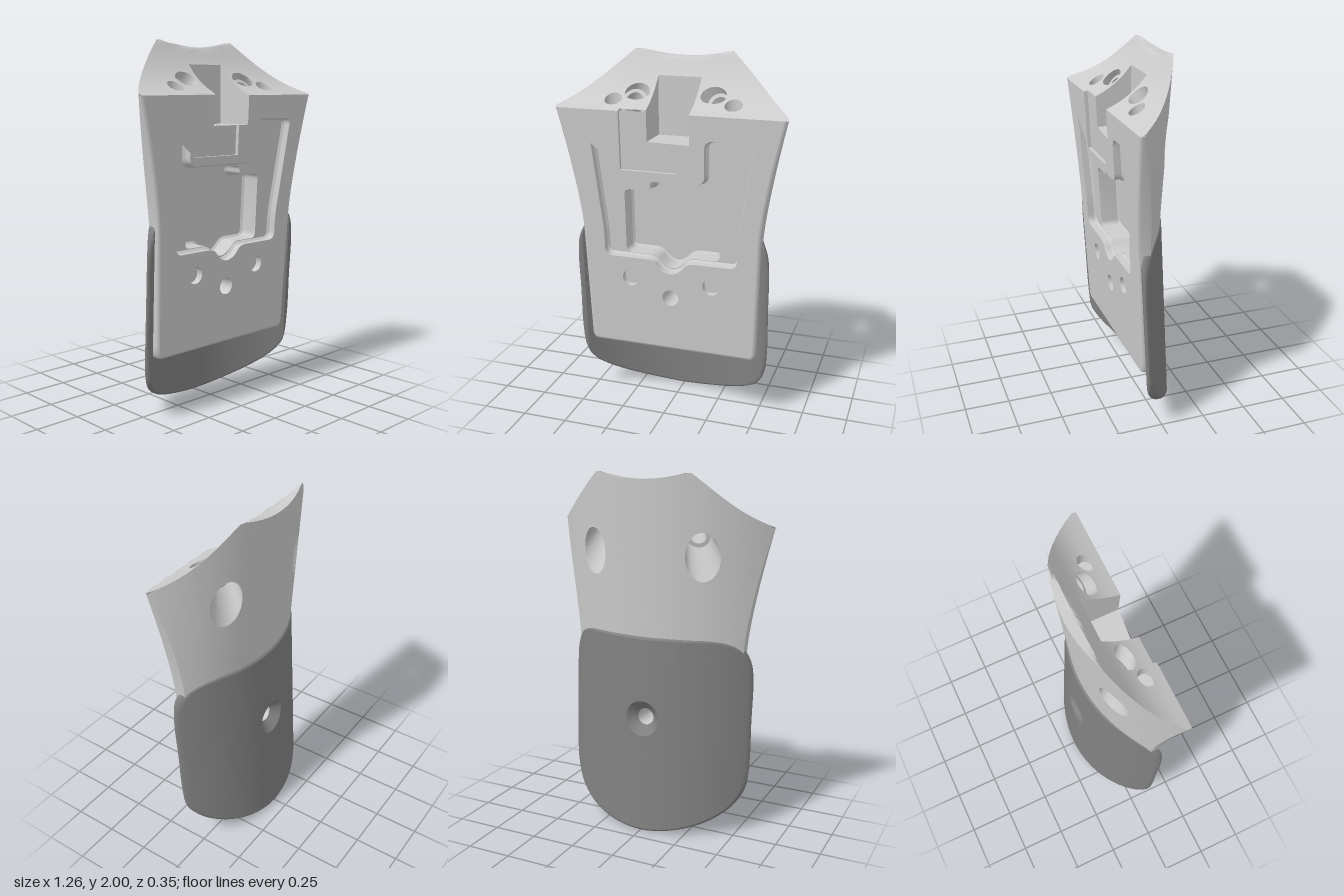
import * as THREE from 'three';
import { toCreasedNormals, mergeGeometries } from 'three/addons/utils/BufferGeometryUtils.js';

const lerp = THREE.MathUtils.lerp;
const steps = (a, b, n) => Array.from({ length: n + 1 }, (_, i) => lerp(a, b, i / n));

// Surface rules: sloped front, arched body back, arched pad back, swept top
const TOP = 1.71, BOTTOM = 0.34;
const frontZ = (y) => 0.11 + 0.0515 * (y - BOTTOM);
const padBack = (x, y) => 0.575 + 0.049 * y - Math.sqrt(0.5625 - x * x);
const padFront = (x, y) => Math.min(padBack(x, y) + 0.05, frontZ(y) - 0.01);
const bodyBack = (x, y) => y < 0.9 ? padBack(x, y) + 0.03
  : 0.69 - 0.069 * (y - 1.15) - Math.sqrt(0.64 - x * x);
const topY = (x, z) => {
  const u = Math.max(0, (0.18 - z) / 0.3);
  const cap = 1.968 + 0.032 * Math.min(1, (x / 0.24) ** 2);
  return Math.min(cap, TOP + 0.13 * u + 0.16 * u ** 2.8);
};
const halfWidth = (y) => y > 1.04 ? 0.505 + 0.125 * ((y - 1.04) / 0.67) ** 1.35
  : 0.485 + 0.02 * (y - BOTTOM) / 0.7;
function topEdge(x) { // where the top meets the arched back
  let y = 1.85, z = 0;
  for (let i = 0; i < 20; i++) { z = bodyBack(x, y); y = lerp(y, topY(x, z), 0.6); }
  return [x, y, z];
}

// Triangles to geometry, smooth except at sharp edges
function finish(positions, crease = 0.6) {
  const g = new THREE.BufferGeometry();
  g.setAttribute('position', new THREE.Float32BufferAttribute(positions, 3));
  g.scale(100, 100, 100);
  return toCreasedNormals(g, crease).scale(0.01, 0.01, 0.01);
}

// Grid between rows of points; faces outward for anticlockwise rows going forward
function loft(rows, closed = true, crease = 0.6) {
  const out = [], n = rows[0].length;
  for (let r = 0; r < rows.length - 1; r++) {
    for (let i = 0; i < (closed ? n : n - 1); i++) {
      const j = (i + 1) % n;
      const a = rows[r][i], b = rows[r][j], c = rows[r + 1][j], d = rows[r + 1][i];
      out.push(...a, ...b, ...c, ...a, ...c, ...d);
    }
  }
  return finish(out, crease);
}

// Keep the part of a convex polygon on one side of a grid line
function clip(poly, k, v, s) {
  const out = [];
  poly.forEach((p, i) => {
    const q = poly[(i + 1) % poly.length], a = s * (p[k] - v), b = s * (q[k] - v);
    if (a >= 0) out.push(p);
    if (a * b < 0) out.push([lerp(p[0], q[0], a / (a - b)), lerp(p[1], q[1], a / (a - b))]);
  });
  return out;
}

// Flat outline with holes, cut along grid lines, then bent by a rule
function sheet(outline, holes, map, { cutsU = [], cutsV = [], flip = false } = {}) {
  const vec = (l) => l.map((p) => new THREE.Vector2(p[0], p[1]));
  const all = [outline, ...holes].flat();
  let polys = THREE.ShapeUtils.triangulateShape(vec(outline), holes.map(vec))
    .map((t) => t.map((i) => all[i]));
  [cutsU, cutsV].forEach((cuts, k) => cuts.forEach((v) => {
    polys = polys.flatMap((p) => [clip(p, k, v, 1), clip(p, k, v, -1)]).filter((p) => p.length > 2);
  }));
  const out = [];
  for (const p of polys) {
    for (let i = 1; i < p.length - 1; i++) {
      const [a, b, c] = [p[0], p[i], p[i + 1]];
      const area = (b[0] - a[0]) * (c[1] - a[1]) - (c[0] - a[0]) * (b[1] - a[1]);
      if (Math.abs(area) < 1e-9) continue;
      const tri = (area > 0) !== flip ? [a, b, c] : [a, c, b];
      tri.forEach((q) => out.push(...map(q[0], q[1])));
    }
  }
  return finish(out);
}

// Outline helpers
const ellipse = (x, y, rx, ry = rx, n = 32) => Array.from({ length: n }, (_, i) => {
  const a = (i / n) * Math.PI * 2;
  return [x + rx * Math.cos(a), y + ry * Math.sin(a)];
});
function inset(pts, d, closed = true) {
  const n = pts.length;
  return pts.map((p, i) => {
    const a = closed ? pts[(i + n - 1) % n] : pts[Math.max(0, i - 1)];
    const b = closed ? pts[(i + 1) % n] : pts[Math.min(n - 1, i + 1)];
    const l = Math.hypot(b[0] - a[0], b[1] - a[1]) || 1;
    return [p[0] - d * (b[1] - a[1]) / l, p[1] + d * (b[0] - a[0]) / l];
  });
}
function rounded(pts, r) {
  return pts.flatMap((p, i) => {
    const toward = (q) => {
      const t = Math.min(r / Math.hypot(q[0] - p[0], q[1] - p[1]), 0.45);
      return new THREE.Vector2(lerp(p[0], q[0], t), lerp(p[1], q[1], t));
    };
    const a = toward(pts[(i + pts.length - 1) % pts.length]), b = toward(pts[(i + 1) % pts.length]);
    return new THREE.QuadraticBezierCurve(a, new THREE.Vector2(...p), b).getPoints(5).map((v) => [v.x, v.y]);
  });
}
const atDepth = (d) => (x, y) => [x, y, frontZ(y) - d];
const place = (pts, map) => pts.map((p) => map(p[0], p[1]));

export function createModel() {
  const model = new THREE.Group();
  const bodyMat = new THREE.MeshStandardMaterial({ color: 0xcccccc, side: THREE.DoubleSide });
  const padMat = new THREE.MeshStandardMaterial({ color: 0x808080, side: THREE.DoubleSide });
  const add = (name, mat, ...parts) => {
    const mesh = new THREE.Mesh(mergeGeometries(parts), mat);
    mesh.name = name;
    model.add(mesh);
  };

  // Body sides and bottom, with a rounded front edge
  const right = [...steps(0.37, TOP, 30)].map((y) => [halfWidth(y), y]);
  const corner = [[0.455, BOTTOM], [0.473, 0.347]];
  const half = [...steps(0.04, 0.42, 10).map((x) => [x, BOTTOM]), ...corner, ...right];
  const path = [...half.map(([x, y]) => [-x, y]).reverse(), ...half];
  const ring = (d) => inset(path, d, false).map(([x, y], i) =>
    [x, i === 0 || i === path.length - 1 ? TOP : y]);
  const e = 0.016;
  const rim = [0, 30, 60, 90].map((deg) => {
    const a = THREE.MathUtils.degToRad(deg);
    return place(ring(e * (1 - Math.cos(a))), atDepth(e * (1 - Math.sin(a))));
  });
  add('bodySides', bodyMat, loft([place(path, (x, y) => [x, y, bodyBack(x, y)]), ...rim], false, 0.7));

  // Front face with its recess, peg holes and screw hole
  const recess = rounded([[-0.44, 1.58], [-0.38, 1.03], [-0.38, 0.885], [-0.1, 0.885], [-0.06, 0.83],
    [0, 0.805], [0.06, 0.83], [0.1, 0.885], [0.38, 0.885], [0.38, 1.03], [0.47, 1.58], [0.2, 1.58],
    [0.2, 1.345], [-0.3, 1.345], [-0.3, 1.58]], 0.045);
  const well = rounded([[-0.27, 0.9], [-0.1, 0.9], [-0.05, 0.845], [0, 0.825], [0.05, 0.845], [0.1, 0.9],
    [0.27, 0.9], [0.27, 1.27], [0.12, 1.27], [0.12, 1.325], [-0.12, 1.325], [-0.12, 1.27],
    [-0.27, 1.27]], 0.035);
  const pegs = [-0.233, 0.233].map((x) => ellipse(x, 0.76, 0.047));
  const screw = ellipse(0, 0.665, 0.047);
  const notch = [[0.05, 1.55], [0.05, 1.39], [-0.27, 1.39], [-0.27, TOP]];
  add('frontFace', bodyMat, sheet([...ring(e), [0.12, TOP], [0.12, 1.55], ...notch],
    [recess, ...pegs, screw], atDepth(0)));

  // Stepped recess
  const recessFloor = inset(recess, 0.012), wellFloor = inset(well, 0.012);
  add('recess', bodyMat,
    loft([place(recess, atDepth(0)), place(recess, atDepth(0.038)), place(recessFloor, atDepth(0.05))]),
    sheet(recessFloor, [well], atDepth(0.05)),
    loft([place(well, atDepth(0.05)), place(well, atDepth(0.15)), place(wellFloor, atDepth(0.16))]),
    sheet(wellFloor, [], atDepth(0.16)));
  add('pegHoles', bodyMat, ...pegs.flatMap((p) => [
    loft([place(p, atDepth(0)), place(p, atDepth(0.04))]), sheet(p, [], atDepth(0.04))]));

  // Shallow notch beside the slot
  add('notch', bodyMat,
    sheet([...notch, [-0.12, TOP], [-0.12, 1.55]], [], atDepth(0.02)),
    loft([place([...notch].reverse(), atDepth(0)), place([...notch].reverse(), atDepth(0.02))], false));

  // Top slot: floor, two walls and back wall
  const slotRows = steps(0.18, -0.04, 14).map((z) =>
    [[-0.12, topY(0.12, z)], [-0.12, 1.55], [0.12, 1.55], [0.12, topY(0.12, z)]]
      .map(([x, y]) => [x, y, Math.min(z, frontZ(y) - (x < 0 ? 0.02 : 0))]));
  const slotTop = topY(0.12, -0.04);
  add('slot', bodyMat, loft(slotRows, false),
    sheet([[-0.12, 1.55], [0.12, 1.55], [0.12, slotTop], [-0.12, slotTop]], [], (x, y) => [x, y, -0.04]));

  // Swept top face with four holes
  const crest = steps(halfWidth(TOP), -halfWidth(TOP), 60).map(topEdge);
  const bores = [-1, 1].map((s) => ellipse(s * 0.21, 0.04, 0.07, 0.045));
  const pins = [-1, 1].map((s) => ellipse(s * 0.33, 0.09, 0.047, 0.04));
  const w = halfWidth(TOP);
  const topOutline = [[-w, 0.18], [-0.27, 0.18], [-0.27, 0.16], [-0.12, 0.16], [-0.12, -0.04],
    [0.12, -0.04], [0.12, 0.18], [w, 0.18], ...crest.map((p) => [p[0], p[2]])];
  const onTop = (x, z) => [x, topY(x, z), z];
  add('topFace', bodyMat, sheet(topOutline, [...bores, ...pins], onTop,
    { cutsU: steps(-0.24, 0.24, 12), cutsV: steps(-0.16, 0.16, 20), flip: true }));
  add('pinHoles', bodyMat, ...pins.flatMap((p) => [
    loft([place(p, (x, z) => [x, 1.68, z]), place(p, onTop)]),
    sheet(p, [], (x, z) => [x, 1.68, z], { flip: true })]));

  // Arched back face
  const exits = [-1, 1].map((s) => ellipse(s * 0.32, 1.57, 0.085, 0.13));
  const onBack = (x, y) => [x, y, bodyBack(x, y)];
  const backSide = steps(0.9, TOP, 20).map((y) => [halfWidth(y), y]);
  add('backFace', bodyMat, sheet([...backSide, ...crest.slice(1, -1),
    ...backSide.map(([x, y]) => [-x, y]).reverse()], exits, onBack,
  { cutsU: steps(-0.6, 0.6, 30), cutsV: steps(1, 1.9, 9), flip: true }));

  // Slanted screw bores from top to back, narrower in the middle
  bores.forEach((bore, k) => {
    const side = k ? 1 : -1;
    const from = place(bore, onTop);
    const to = ellipse(side * 0.32, 1.57, 0.085, -0.13).map(([x, y]) => onBack(x, y));
    const centre = [side * 0.21, 1.8, 0.04], end = [side * 0.32, 1.57, -0.075];
    const rows = [[0, 1], [0.25, 0.95], [0.25, 0.65], [0.5, 0.6], [0.5, 0.85], [1, 1]].map(([t, s]) =>
      from.map((p, i) => p.map((v, c) => {
        const mid = lerp(centre[c], end[c], t);
        return mid + s * (lerp(v, to[i][c], t) - mid);
      })));
    add(side > 0 ? 'leftBore' : 'rightBore', bodyMat, loft(rows));
  });

  // Pad: curved shell with rounded corners
  const padHalf = [[0.2, 0.03], [0.37, 0.09], [0.48, 0.17], [0.535, 0.27], [0.55, 0.4], [0.55, 0.65],
    [0.55, 0.9], [0.535, 0.99], [0.485, 1.075], [0.4, 1.115], [0.2, 1.125]];
  const padPoints = [[0, 0.005], ...padHalf, [0, 1.125], ...padHalf.map(([x, y]) => [-x, y]).reverse()];
  const padOutline = new THREE.CatmullRomCurve3(padPoints.map(([x, y]) => new THREE.Vector3(x, y, 0)), true)
    .getPoints(120).slice(0, -1).map((p) => [p.x, p.y]);
  const through = (f) => (x, y) => [x, y, lerp(padBack(x, y), padFront(x, y), f)];
  const padFace = inset(padOutline, 0.014);
  const sink = ellipse(0, 0.665, 0.1);
  const cuts = { cutsU: steps(-0.52, 0.52, 26), cutsV: steps(0.1, 1.1, 5) };
  add('pad', padMat,
    sheet(padFace, [sink], through(0), { ...cuts, flip: true }),
    sheet(padFace, [screw], through(1), cuts),
    loft([[0.014, 0], [0.005, 0.08], [0, 0.3], [0, 0.7], [0.005, 0.92], [0.014, 1]].map(([d, f]) =>
      place(inset(padOutline, d), through(f))), true, 0.9));

  // Countersunk screw hole through pad and body
  add('padCountersink', padMat, loft([place(screw, through(1)), place(sink, through(0))]));
  add('screwHole', bodyMat, loft([place(screw, atDepth(0)), place(screw, through(1))]));
  return model;
}
